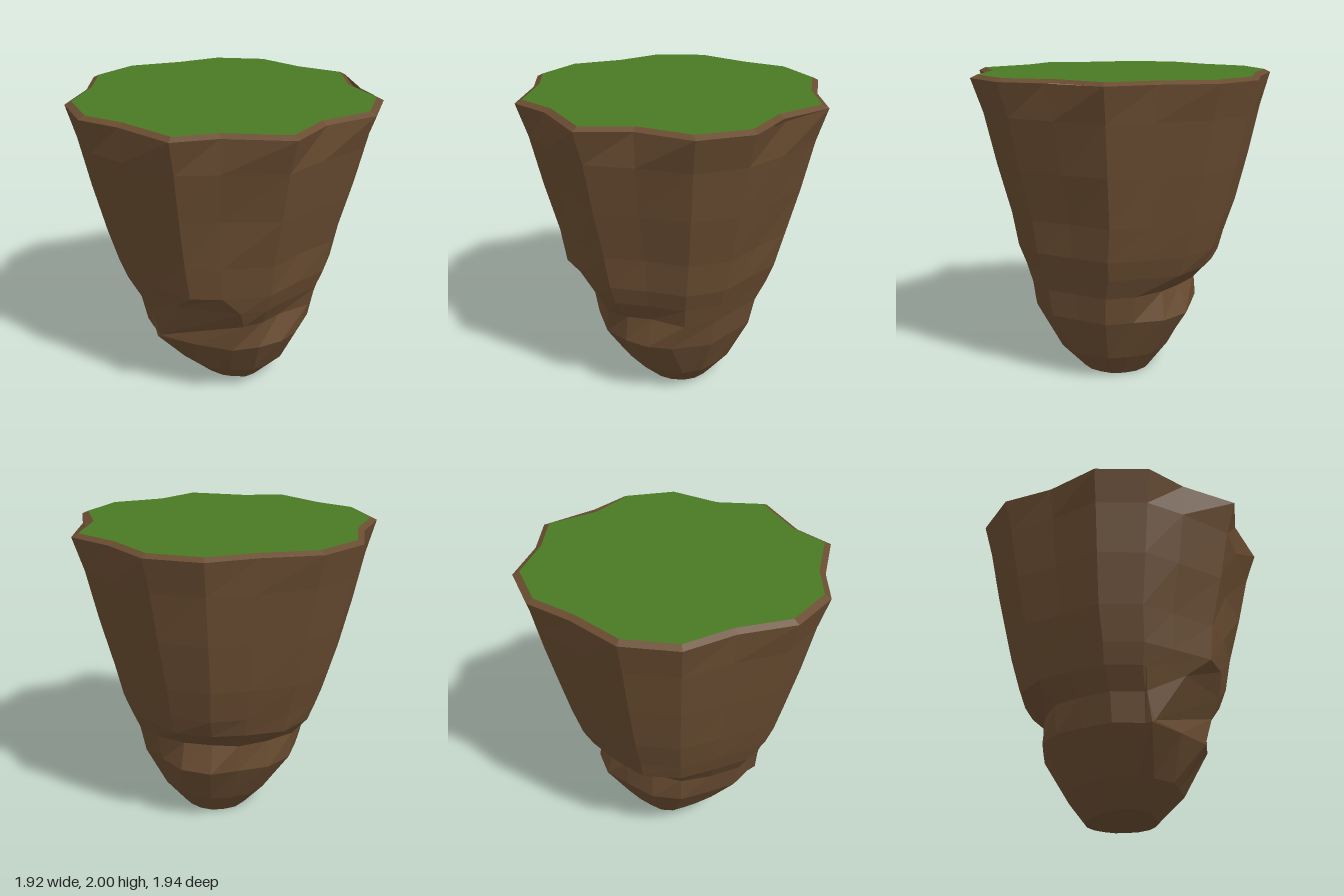
import * as THREE from 'three';

// Rim outline (x, z), seen from above, clockwise from the back
const OUTLINE = [
  [0.21, -0.97], [0.47, -0.735], [0.79, -0.62], [0.96, -0.32], [0.88, 0.03], [0.95, 0.35],
  [0.64, 0.62], [0.5, 0.86], [0.11, 0.89], [-0.16, 0.967], [-0.48, 0.845], [-0.67, 0.55],
  [-0.91, 0.32], [-0.965, -0.02], [-0.81, -0.35], [-0.72, -0.65], [-0.45, -0.87], [-0.1, -0.885],
];
const N = OUTLINE.length;

// Rock rings from rim to foot: height, scale, centre x, centre z, roundness,
// tilt (rise towards the front), radius factors for single corners (bumps)
// and corners set by hand around the ledges (at)
const RINGS = [
  { y: 1.98, s: 1, at: { 1: [0.52, 1.98, -0.745] } },
  { y: 1.77, s: 0.945, round: 0.25, bumps: { 1: 1.06, 4: 1.03, 6: 1.03, 8: 1.03 } },
  { y: 1.45, s: 0.875, round: 0.3, bumps: { 1: 1.04, 4: 1.02, 8: 1.02 } },
  { y: 1.13, s: 0.795, round: 0.4, bumps: { 6: 1.05 } },
  { y: 0.91, s: 0.74, cx: 0.02, round: 0.5, bumps: { 6: 1.05, 7: 1.02 } },
  {
    y: 0.78, s: 0.69, cx: 0.02, round: 0.5, bumps: { 13: 1.02, 15: 0.97 },
    at: { 6: [0.57, 0.78, 0.38], 7: [0.22, 0.78, 0.61], 8: [-0.06, 0.78, 0.65] },
  },
  {
    y: 0.64, s: 0.62, cx: 0.05, round: 0.5, bumps: { 12: 0.96, 13: 0.9, 14: 0.94, 15: 0.86, 16: 0.89 },
    at: {
      3: [0.62, 0.64, -0.2], 4: [0.57, 0.64, 0.03], 5: [0.57, 0.64, 0.18],
      6: [0.54, 0.65, 0.32], 7: [0.02, 0.47, 0.575], 8: [-0.04, 0.64, 0.6],
    },
  },
  {
    y: 0.455, s: 0.58, cx: 0.055, round: 0.5, bumps: { 15: 1.03, 16: 1.02 },
    at: {
      3: [0.6, 0.455, -0.11], 4: [0.61, 0.455, 0.04], 5: [0.56, 0.455, 0.2],
      6: [0.47, 0.455, 0.35], 7: [0.24, 0.455, 0.475], 8: [0, 0.455, 0.58],
    },
  },
  { y: 0.165, s: 0.405, cx: 0.065, cz: -0.03, round: 0.7, tilt: 0.08 },
  { y: 0, s: 0.25, cx: 0.055, cz: -0.05, round: 0.85, tilt: 0.18 },
];

function ringPoints({ y, s, cx = 0, cz = 0, round = 0, tilt = 0, bumps = {}, at = {} }) {
  return OUTLINE.map(([x, z], i) => {
    if (at[i]) return at[i];
    const r = Math.hypot(x, z);
    const k = s * (1 + round * (0.94 / r - 1)) * (bumps[i] ?? 1);
    const pz = cz + z * k;
    return [cx + x * k, y + tilt * Math.max(0, pz), pz];
  });
}

// Faceted geometry from a list of triangles
function facets(triangles) {
  const g = new THREE.BufferGeometry();
  g.setAttribute('position', new THREE.Float32BufferAttribute(triangles.flat(2), 3));
  g.computeVertexNormals();
  return g;
}

function band(upper, lower) {
  const tris = [];
  for (let i = 0; i < N; i++) {
    const j = (i + 1) % N;
    tris.push([upper[i], upper[j], lower[j]], [upper[i], lower[j], lower[i]]);
  }
  return tris;
}

function cap(ring, centre, up) {
  return ring.map((p, i) => {
    const q = ring[(i + 1) % N];
    return up ? [centre, q, p] : [centre, p, q];
  });
}

export function createModel() {
  // The rock shell is open behind the rim notch, so it shows both faces
  const rock = new THREE.MeshStandardMaterial({ color: 0x694c31, side: THREE.DoubleSide });
  rock.name = 'brown earth';
  const grass = new THREE.MeshStandardMaterial({ color: 0x497a24 });
  grass.name = 'green grass';

  const group = new THREE.Group();
  group.name = 'floatingIsland';
  const add = (name, tris, material) => {
    const mesh = new THREE.Mesh(facets(tris), material);
    mesh.name = name;
    group.add(mesh);
  };

  const rings = RINGS.map(ringPoints);
  const rimInner = ringPoints({ y: 2, s: 0.957 });
  const rimOuter = ringPoints({ y: 1.98, s: 1 });

  // Rocky sides
  const sides = [];
  for (let i = 0; i < rings.length - 1; i++) sides.push(...band(rings[i], rings[i + 1]));
  add('rockSides', sides, rock);

  // Underside, bevelled rim and flat grass top
  add('rockFoot', cap(rings[rings.length - 1], [0.055, 0.03, -0.05], false), rock);
  add('rim', band(rimInner, rimOuter), rock);
  add('grassTop', cap(rimInner, [0, 2, 0], true), grass);

  return group;
}
